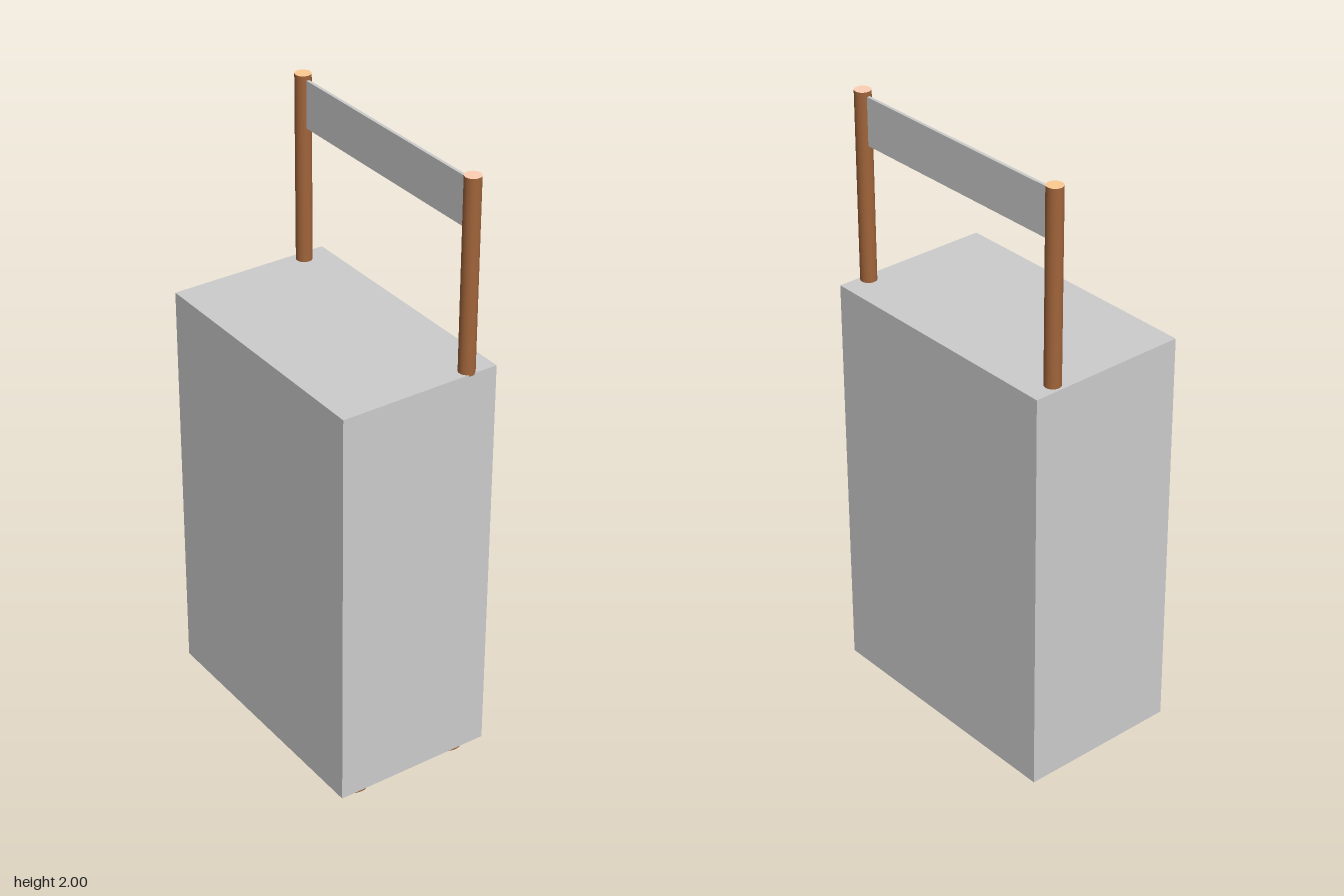
import * as THREE from 'three';

const paint = (color) => new THREE.MeshStandardMaterial({ color });

export function createModel() {
  const model = new THREE.Group();
  const grey = paint(0xcccccc);
  const bark = paint(0xa0643a);

  const add = (name, geometry, material, x, y, z) => {
    const mesh = new THREE.Mesh(geometry, material);
    mesh.name = name;
    mesh.position.set(x, y, z);
    model.add(mesh);
  };

  // Solid case
  add('caseBody', new THREE.BoxGeometry(0.536, 1.36, 0.894), grey, 0, 1.7 / 2 - 0.15, -0.003);

  // Round feet under the four corners
  const footGeometry = new THREE.CylinderGeometry(0.055, 0.055, 0.022, 32);
  for (const x of [-0.185, 0.175]) {
    for (const z of [-0.375, 0.375]) add('foot', footGeometry, bark, x, 0.011, z);
  }

  // Handle posts with pale end caps
  const postGeometry = new THREE.CylinderGeometry(0.026, 0.026, 0.625, 32);
  for (const [z, cap] of [[-0.415, 0xfccb92], [0.42, 0xfcd0b4]]) {
    add('handlePost', postGeometry, [bark, paint(cap), bark], 0.178, 1.6875, z);
  }

  // Thin handle panel between the posts
  add('handlePanel', new THREE.BoxGeometry(0.01, 0.155, 0.8), grey, 0.178, 1.908, 0.0025);

  return model;
}
